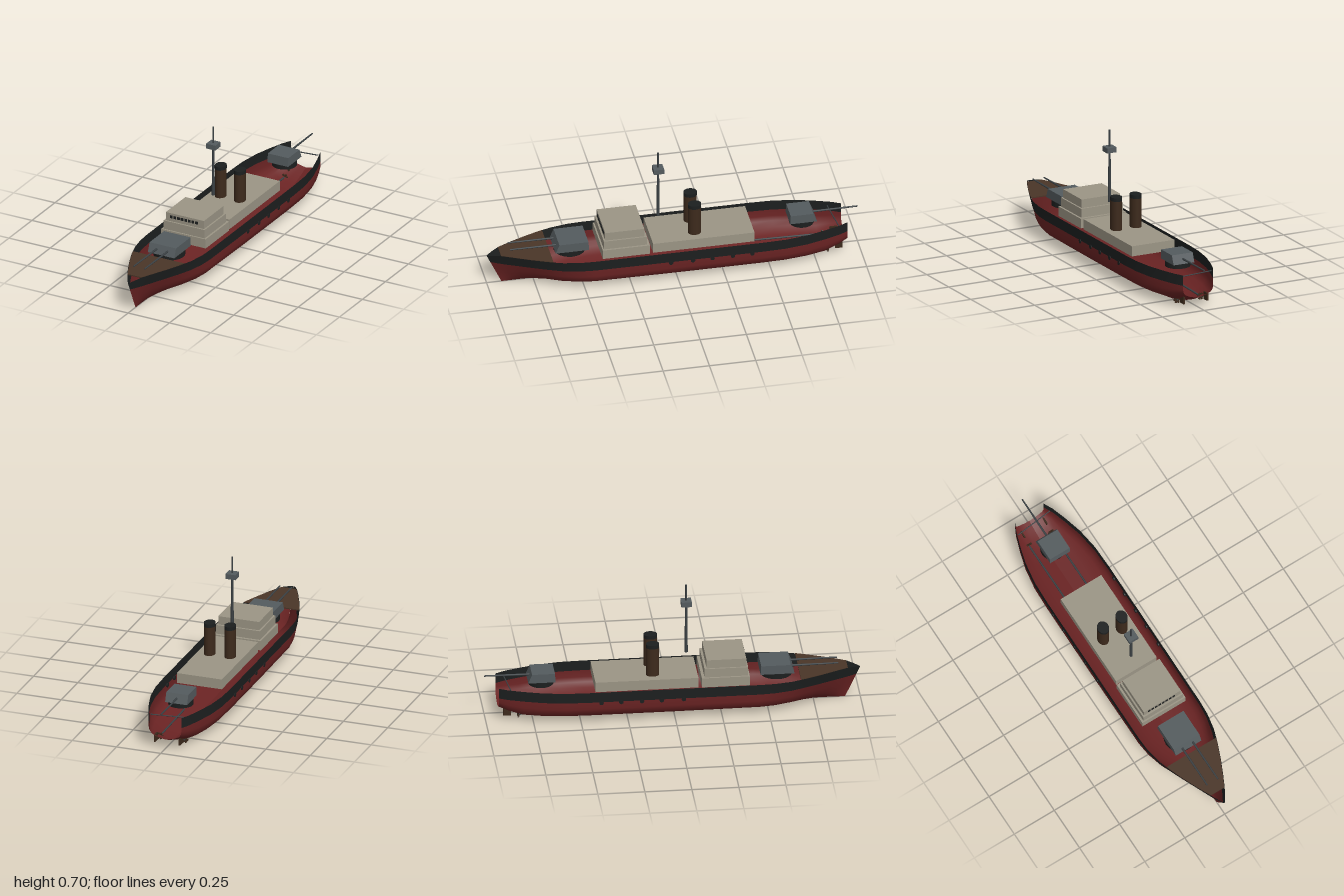
import * as THREE from 'three';

const mat = (name, color, side = THREE.FrontSide) => {
  const m = new THREE.MeshStandardMaterial({ color, side });
  m.name = name;
  return m;
};

// hull stations: z, half width, keel height, rim height, bow sharpness
const STATIONS = [
  [-0.93, 0.09, 0.052, 0.187, 0], [-0.88, 0.115, 0.03, 0.187, 0], [-0.8, 0.142, 0.004, 0.187, 0],
  [-0.7, 0.17, 0.002, 0.187, 0], [-0.58, 0.188, 0.002, 0.187, 0], [-0.45, 0.192, 0.002, 0.187, 0],
  [0, 0.192, 0.002, 0.187, 0], [0.45, 0.192, 0.002, 0.187, 0.05], [0.53, 0.188, 0.002, 0.187, 0.15],
  [0.62, 0.172, 0.002, 0.187, 0.35], [0.7, 0.146, 0.002, 0.188, 0.6], [0.78, 0.114, 0.001, 0.189, 0.8],
  [0.86, 0.078, 0.001, 0.19, 0.95], [0.93, 0.044, 0, 0.189, 1], [0.97, 0.021, 0, 0.181, 1], [1, 0.001, 0, 0.173, 1],
];
// section levels: height, midship fullness, bow fullness
const LEVELS = [
  [0, 0, 0], [0.009, 0.3, 0.14], [0.02, 0.58, 0.27], [0.04, 0.85, 0.43],
  [0.063, 0.96, 0.57], [0.09, 1, 0.71], [0.13, 1, 0.86], [0.187, 1, 1],
];
const STRIPE = 0.13;

function hullPoint([z, w, keel, rim, sharp], [h, full, fine], side) {
  const y = h <= STRIPE ? keel + h * (STRIPE - keel) / STRIPE : rim;
  const rake = 0.08 * THREE.MathUtils.smoothstep(z, 0.6, 1) * (1 - Math.min(1, y / 0.173));
  return [side * w * THREE.MathUtils.lerp(full, fine, sharp), y, z - rake];
}

// one side of the hull skin between two levels
function hullSkin(levels, side) {
  const pos = [], index = [], n = levels.length;
  STATIONS.forEach((s, i) => {
    levels.forEach((l, j) => {
      pos.push(...hullPoint(s, l, side));
      if (i && j) {
        const d = i * n + j, c = d - 1, b = d - n, a = b - 1;
        if (side > 0) index.push(a, b, c, b, d, c);
        else index.push(a, c, b, b, c, d);
      }
    });
  });
  const g = new THREE.BufferGeometry();
  g.setAttribute('position', new THREE.Float32BufferAttribute(pos, 3));
  g.setIndex(index);
  g.computeVertexNormals();
  return g;
}

export function createModel() {
  const red = mat('hull red', 0x6a2323, THREE.DoubleSide);
  const black = mat('black', 0x1c1f1f, THREE.DoubleSide);
  const beige = mat('superstructure beige', 0x9b9585);
  const grey = mat('gun grey', 0x545b5e);
  const steel = mat('dark steel', 0x3b4144);
  const brown = mat('funnel brown', 0x3d2a1c);
  const plank = mat('deck brown', 0x4a3527);

  const ship = new THREE.Group();
  ship.name = 'ship';
  const add = (name, geo, material, x = 0, y = 0, z = 0, parent = ship) => {
    const m = new THREE.Mesh(geo, material);
    m.name = name;
    m.position.set(x, y, z);
    parent.add(m);
    return m;
  };
  // box given by its extents
  const block = (name, material, hw, y0, y1, z0, z1, x = 0) =>
    add(name, new THREE.BoxGeometry(2 * hw, y1 - y0, z1 - z0), material, x, (y0 + y1) / 2, (z0 + z1) / 2);
  // straight rod between two points
  const rod = (name, material, a, b, r0, r1 = r0, parent = ship) => {
    const p = new THREE.Vector3(...a), q = new THREE.Vector3(...b), d = q.clone().sub(p);
    const m = add(name, new THREE.CylinderGeometry(r1, r0, d.length(), 10), material, 0, 0, 0, parent);
    m.position.copy(p).add(q).multiplyScalar(0.5);
    m.quaternion.setFromUnitVectors(new THREE.Vector3(0, 1, 0), d.normalize());
    return m;
  };

  // open hull shell with black upper band
  for (const side of [-1, 1]) {
    add('hullSide', hullSkin(LEVELS.slice(0, 7), side), red);
    add('hullBand', hullSkin(LEVELS.slice(6), side), black);
  }

  // foredeck following the rim
  const rim = [[0.67, 0.156], ...STATIONS.filter(s => s[0] > 0.67 && s[0] < 0.95)];
  const outline = [
    ...rim.map(([z, w]) => new THREE.Vector2(w - 0.002, -z)),
    ...rim.slice().reverse().map(([z, w]) => new THREE.Vector2(0.002 - w, -z)),
  ];
  const deckGeo = new THREE.ExtrudeGeometry(new THREE.Shape(outline), { depth: 0.006, bevelEnabled: false });
  deckGeo.rotateX(-Math.PI / 2);
  add('foredeck', deckGeo, plank, 0, 0.184, 0);

  // bridge tiers, windows and long deckhouse
  block('bridgeLower', beige, 0.135, 0.16, 0.213, 0.145, 0.4);
  block('bridgeMiddle', beige, 0.124, 0.213, 0.262, 0.16, 0.392);
  block('bridgeUpper', beige, 0.115, 0.262, 0.309, 0.172, 0.383);
  for (let i = 0; i < 8; i++) block('bridgeWindow', black, 0.0075, 0.281, 0.296, 0.38, 0.386, -0.082 + i * 0.0218);
  block('deckhouse', beige, 0.127, 0.158, 0.214, -0.42, 0.127);

  // twin funnels with black caps
  for (const x of [-0.058, 0.058]) {
    add('funnel', new THREE.CylinderGeometry(0.03, 0.03, 0.161, 24), brown, x, 0.2945, -0.11).scale.z = 1.17;
    add('funnelCap', new THREE.CylinderGeometry(0.0305, 0.0305, 0.02, 24), black, x, 0.385, -0.11).scale.z = 1.17;
  }

  // mast with lookout box
  rod('mastLower', steel, [0, 0.308, 0.075], [0, 0.59, 0.075], 0.009, 0.006);
  block('lookout', grey, 0.028, 0.585, 0.613, 0.047, 0.103);
  rod('mastUpper', steel, [0, 0.61, 0.075], [0, 0.705, 0.075], 0.005);

  // gun turrets: wedge-fronted house, round base, barrels
  function turret(name, z, hw, length, reach, barrels, y, turn) {
    const g = new THREE.Group();
    g.name = name;
    g.position.set(0, y, z);
    g.rotation.y = turn;
    ship.add(g);
    const h = length / 2;
    const side = new THREE.Shape([[-h, 0], [h, 0], [h - 0.02, 0.05], [-h + 0.003, 0.05]].map(p => new THREE.Vector2(...p)));
    const geo = new THREE.ExtrudeGeometry(side, { depth: 2 * hw, bevelEnabled: false });
    geo.translate(0, 0, -hw);
    geo.rotateY(-Math.PI / 2);
    add('turretHouse', geo, grey, 0, 0, 0, g);
    add('turretBase', new THREE.CylinderGeometry(hw + 0.005, hw + 0.005, 0.028, 24), black, 0, -0.014, 0, g);
    for (const x of barrels) {
      rod('gunBarrel', steel, [x, 0.024, h - 0.02], [x, 0.026, reach], 0.006, 0.004, g);
    }
  }
  turret('foreTurret', 0.553, 0.08, 0.18, 0.327, [-0.033, 0.033], 0.19, 0);
  turret('aftTurret', -0.698, 0.062, 0.145, 0.302, [0], 0.195, Math.PI);

  // side fittings below the black band
  for (const z of [0.043, -0.075, -0.18, -0.29, -0.395]) {
    for (const side of [-1, 1]) {
      add('sideFitting', new THREE.CylinderGeometry(0.012, 0.012, 0.01, 12), black, side * 0.19, 0.126, z).rotation.z = Math.PI / 2;
    }
  }

  // propeller shafts, propellers and rudders
  for (const side of [-1, 1]) {
    const x = side * 0.07;
    rod('propellerShaft', steel, [x, 0.03, -0.46], [x, 0.022, -0.83], 0.005);
    for (let i = 0; i < 3; i++) {
      const blade = add('propellerBlade', new THREE.BoxGeometry(0.01, 0.038, 0.008), brown, x, 0.022, -0.825);
      blade.rotation.z = i * Math.PI / 3 + Math.PI / 2;
    }
    block('rudder', brown, 0.004, 0.018, 0.06, -0.905, -0.865, x);
  }

  // stern rod
  rod('sternRail', steel, [-0.115, 0.165, -0.86], [0.1, 0.165, -0.885], 0.003);

  return ship;
}
